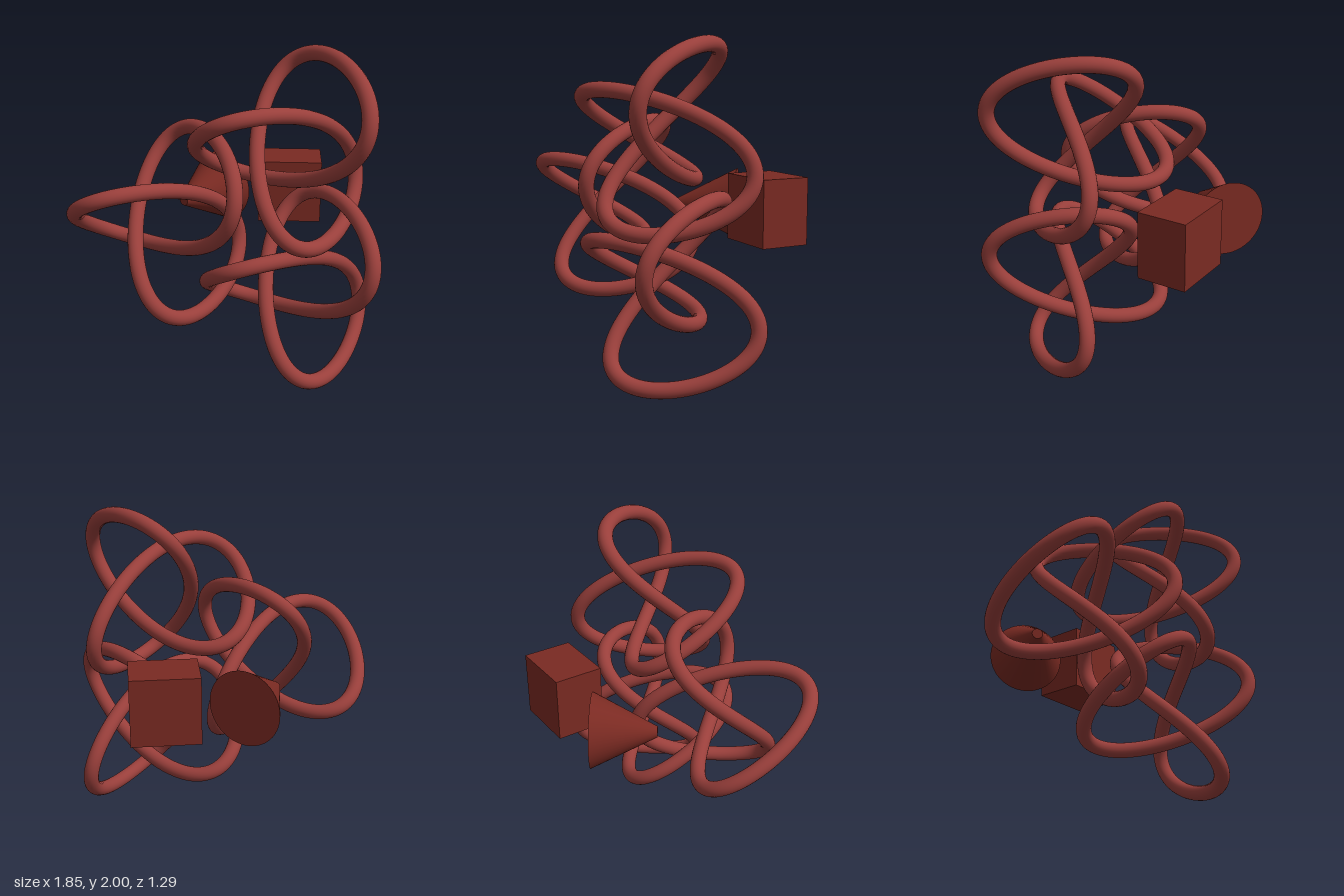
import * as THREE from 'three';

const knotMaterial = new THREE.MeshStandardMaterial({ color: 0x993f3b });
const solidMaterial = new THREE.MeshStandardMaterial({ color: 0x7a2a22 });

// Closed trefoil path, one lobe pointing to -x
class TrefoilCurve extends THREE.Curve {
  getPoint(u, target = new THREE.Vector3()) {
    const t = u * Math.PI * 2;
    return target.set(
      0.18 * Math.cos(t) - 0.39 * Math.cos(2 * t),
      0.18 * Math.sin(t) + 0.39 * Math.sin(2 * t),
      -0.353 * Math.sin(3 * t)
    );
  }
}

function addMesh(group, name, geometry, material, x, y, z) {
  const mesh = new THREE.Mesh(geometry, material);
  mesh.name = name;
  mesh.position.set(x, y, z);
  group.add(mesh);
  return mesh;
}

export function createModel() {
  const group = new THREE.Group();
  group.name = 'knotsAndSolids';

  // Three identical interlocking trefoil knots
  const knot = new THREE.TubeGeometry(new TrefoilCurve(), 300, 0.047, 20, true);
  const places = [
    ['leftwardKnot', -0.311, 0.973],
    ['upperKnot', 0.413, 1.432],
    ['lowerKnot', 0.477, 0.569],
  ];
  for (const [name, x, y] of places) addMesh(group, name, knot, knotMaterial, x, y, 0.246);

  // Block behind the knots
  addMesh(group, 'block', new THREE.BoxGeometry(0.408, 0.408, 0.31), solidMaterial, 0.408, 0.975, -0.445);

  // Blunt cone, its narrow end pointing forward and to -x
  const base = new THREE.Vector3(-0.047, 0.942, -0.51);
  const tip = new THREE.Vector3(-0.278, 0.938, -0.19);
  const axis = tip.clone().sub(base);
  const middle = base.clone().lerp(tip, 0.5);
  const cone = addMesh(group, 'cone', new THREE.CylinderGeometry(0.033, 0.232, axis.length(), 48),
    solidMaterial, middle.x, middle.y, middle.z);
  cone.quaternion.setFromUnitVectors(new THREE.Vector3(0, 1, 0), axis.normalize());

  return group;
}
